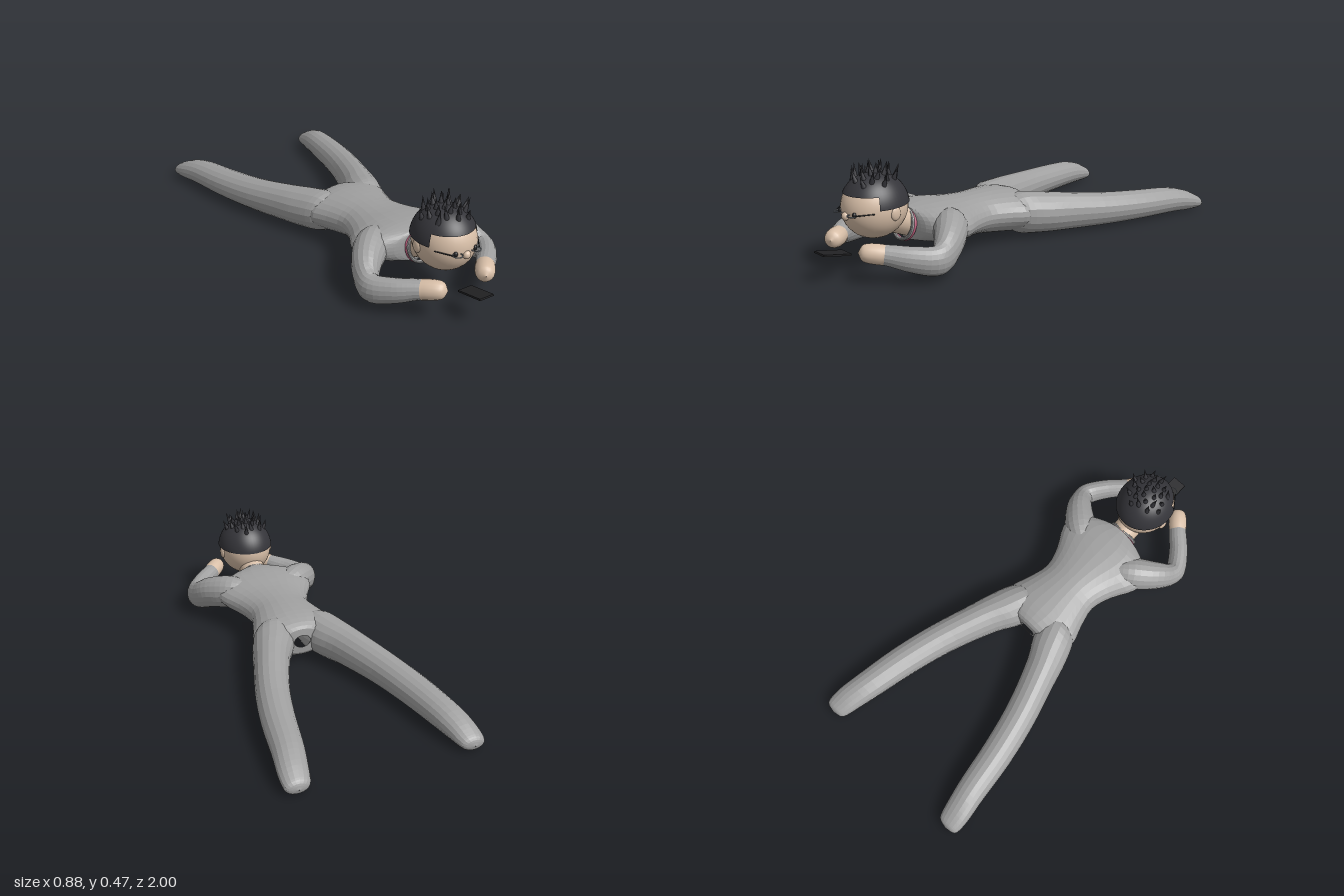
import * as THREE from 'three';

const mat = (name, color, opts = {}) => new THREE.MeshStandardMaterial({ name, color, ...opts });
const V = (x, y, z) => new THREE.Vector3(x, y, z);

// Tapered limb through stations [x, y, z, half width, half height]
function loft(stations, { rings = 28, sides = 18, dir = null } = {}) {
  const path = new THREE.CatmullRomCurve3(stations.map(s => V(s[0], s[1], s[2])), false, 'catmullrom', 0.5);
  const size = new THREE.CatmullRomCurve3(stations.map(s => V(s[3], s[4], 0)), false, 'catmullrom', 0.5);
  const pos = [], idx = [];
  for (let i = 0; i <= rings; i++) {
    const t = i / rings, p = path.getPoint(t), r = size.getPoint(t);
    const tan = dir ? dir.clone() : path.getTangent(t);
    const side = V(0, 1, 0).cross(tan).normalize();
    const up = tan.clone().cross(side);
    for (let j = 0; j < sides; j++) {
      const a = (j / sides) * Math.PI * 2;
      const q = p.clone().addScaledVector(side, Math.cos(a) * Math.max(r.x, 0.001))
        .addScaledVector(up, Math.sin(a) * Math.max(r.y, 0.001));
      pos.push(q.x, q.y, q.z);
      if (i < rings) {
        const k = (j + 1) % sides, A = i * sides + j, B = i * sides + k;
        idx.push(A, B, A + sides, B, B + sides, A + sides);
      }
    }
  }
  const g = new THREE.BufferGeometry();
  g.setAttribute('position', new THREE.Float32BufferAttribute(pos, 3));
  g.setIndex(idx);
  g.computeVertexNormals();
  return g;
}

export function createModel() {
  const root = new THREE.Group();
  root.name = 'lyingFigure';
  const suit = mat('suit grey', 0xa0a0a0, { flatShading: true });
  const skin = mat('skin', 0xd8bfa8);
  const hair = mat('hair black', 0x35353a, { side: THREE.DoubleSide });
  const pink = mat('collar pink', 0xc0607f);
  const black = mat('black', 0x222224);
  const metal = mat('glasses grey', 0x8d949c);

  const add = (name, geo, material, p = [0, 0, 0], s = [1, 1, 1], parent = root) => {
    const m = new THREE.Mesh(geo, material);
    m.name = name;
    m.position.set(...p);
    m.scale.set(...s);
    parent.add(m);
    return m;
  };
  const rod = (name, a, b, r0, r1, material) => {
    const d = b.clone().sub(a);
    const m = add(name, new THREE.CylinderGeometry(r1, r0, d.length(), 20), material,
      a.clone().add(b).multiplyScalar(0.5).toArray());
    m.quaternion.setFromUnitVectors(V(0, 1, 0), d.normalize());
    return m;
  };
  const ball = new THREE.SphereGeometry(1, 32, 24);

  // Torso from crotch to neck root
  add('torso', loft([
    [0, 0.125, -0.088, 0.04, 0.03], [0, 0.125, -0.075, 0.13, 0.075], [0, 0.125, 0, 0.205, 0.1],
    [0, 0.133, 0.1, 0.177, 0.1], [0, 0.14, 0.2, 0.154, 0.094], [0, 0.148, 0.3, 0.183, 0.09],
    [0, 0.158, 0.4, 0.238, 0.09], [0, 0.168, 0.48, 0.24, 0.084], [0, 0.17, 0.54, 0.15, 0.076],
    [0, 0.17, 0.56, 0.07, 0.066], [0, 0.17, 0.565, 0, 0],
  ], { rings: 30, sides: 28, dir: V(0, 0, 1) }), suit);

  // Legs and arms, mirrored
  for (const s of [1, -1]) {
    const side = s > 0 ? 'left' : 'right';
    const flip = list => list.map(([x, ...rest]) => [x * s, ...rest]);
    add(side + 'Leg', loft(flip([
      [0.095, 0.125, 0.06, 0.07, 0.07], [0.112, 0.122, 0, 0.1, 0.097], [0.15, 0.113, -0.1, 0.102, 0.097],
      [0.194, 0.106, -0.2, 0.088, 0.091], [0.265, 0.092, -0.4, 0.08, 0.079], [0.315, 0.082, -0.6, 0.076, 0.071],
      [0.35, 0.072, -0.8, 0.07, 0.063], [0.37, 0.057, -0.9, 0.066, 0.052], [0.38, 0.042, -0.965, 0.058, 0.037],
      [0.383, 0.036, -0.99, 0.043, 0.025], [0.383, 0.034, -1, 0, 0],
    ]), { rings: 34, dir: V(0, 0, -1) }), suit);
    add(side + 'Arm', loft(flip([
      [0.1, 0.17, 0.4, 0.05, 0.06], [0.17, 0.167, 0.455, 0.075, 0.08], [0.245, 0.145, 0.525, 0.066, 0.077],
      [0.29, 0.108, 0.59, 0.052, 0.068], [0.296, 0.096, 0.645, 0.048, 0.063], [0.245, 0.108, 0.72, 0.045, 0.055],
      [0.19, 0.122, 0.775, 0.043, 0.046], [0.155, 0.129, 0.81, 0.04, 0.041],
    ]), { rings: 28 }), suit);
    add(side + 'Hand', loft(flip([
      [0.168, 0.126, 0.797, 0.042, 0.043], [0.145, 0.131, 0.823, 0.044, 0.043], [0.122, 0.135, 0.85, 0.041, 0.04],
      [0.108, 0.137, 0.869, 0.03, 0.03], [0.099, 0.138, 0.881, 0, 0],
    ]), { rings: 14 }), skin);

    // Ears, eyes and flat-lying spectacle rims
    add(side + 'Ear', ball, skin, [s * 0.127, 0.272, 0.708], [0.012, 0.03, 0.024]);
    add(side + 'Eye', ball, black, [s * 0.05, 0.278, 0.857], [0.009, 0.012, 0.009]);
    const rim = add(side + 'Rim', new THREE.TorusGeometry(0.02, 0.0025, 8, 28), metal, [s * 0.047, 0.277, 0.867]);
    rim.rotation.x = Math.PI / 2;
    rod(side + 'Temple', V(s * 0.066, 0.279, 0.865), V(s * 0.113, 0.285, 0.8), 0.0025, 0.0025, black);
  }

  // Neck and collar
  rod('neck', V(0, 0.165, 0.53), V(0, 0.225, 0.67), 0.062, 0.062, skin);
  const collar = add('collar', new THREE.TorusGeometry(0.07, 0.007, 10, 40), pink, [0, 0.17, 0.568]);
  collar.rotation.x = -0.25;
  const neckband = add('neckband', new THREE.TorusGeometry(0.068, 0.008, 10, 40), suit, [0, 0.172, 0.58]);
  neckband.rotation.x = -0.25;

  // Head
  add('head', ball, skin, [0, 0.283, 0.722], [0.131, 0.137, 0.146]);
  add('nose', ball, skin, [0, 0.266, 0.867], [0.018, 0.018, 0.016]);

  // Hair cap: short fringe in front, longer at sides and back
  const C = V(0, 0.28, 0.722), R = V(0.138, 0.148, 0.151);
  const cap = (name, start, length, theta) =>
    add(name, new THREE.SphereGeometry(1, 32, 16, start, length, 0, theta), hair, C.toArray(), R.toArray());
  cap('hairFront', 0.42, Math.PI - 0.84, 1.08);
  cap('hairBack', Math.PI - 0.42, Math.PI + 0.84, 1.455);

  // Spiky tufts scattered over the crown
  const spikes = new THREE.Group();
  spikes.name = 'hairSpikes';
  root.add(spikes);
  let seed = 11;
  const rnd = () => (seed = (seed * 16807) % 2147483647) / 2147483647;
  const N = 26;
  for (let i = 0; i < N; i++) {
    const r = 0.1 * Math.sqrt((i + 0.5) / N), a = i * 2.4;
    const x = r * Math.cos(a), z = r * Math.sin(a);
    const y = R.y * Math.sqrt(1 - (x / R.x) ** 2 - (z / R.z) ** 2);
    const h = 0.05 + rnd() * 0.02;
    const d = V(x * 2.5 + (rnd() - 0.4) * 0.5, 1, z * 2 + (rnd() - 0.5) * 0.5).normalize();
    const spike = add('spike', new THREE.ConeGeometry(0.012, h, 8), hair,
      V(x, C.y + y, C.z + z).addScaledVector(d, h * 0.38).toArray(), [1, 1, 1], spikes);
    spike.quaternion.setFromUnitVectors(V(0, 1, 0), d);
  }

  // Handheld slab in front of the face
  const phone = add('phone', new THREE.BoxGeometry(0.07, 0.008, 0.134), black, [0, 0.123, 0.934]);
  phone.rotation.x = -0.2;
  return root;
}
